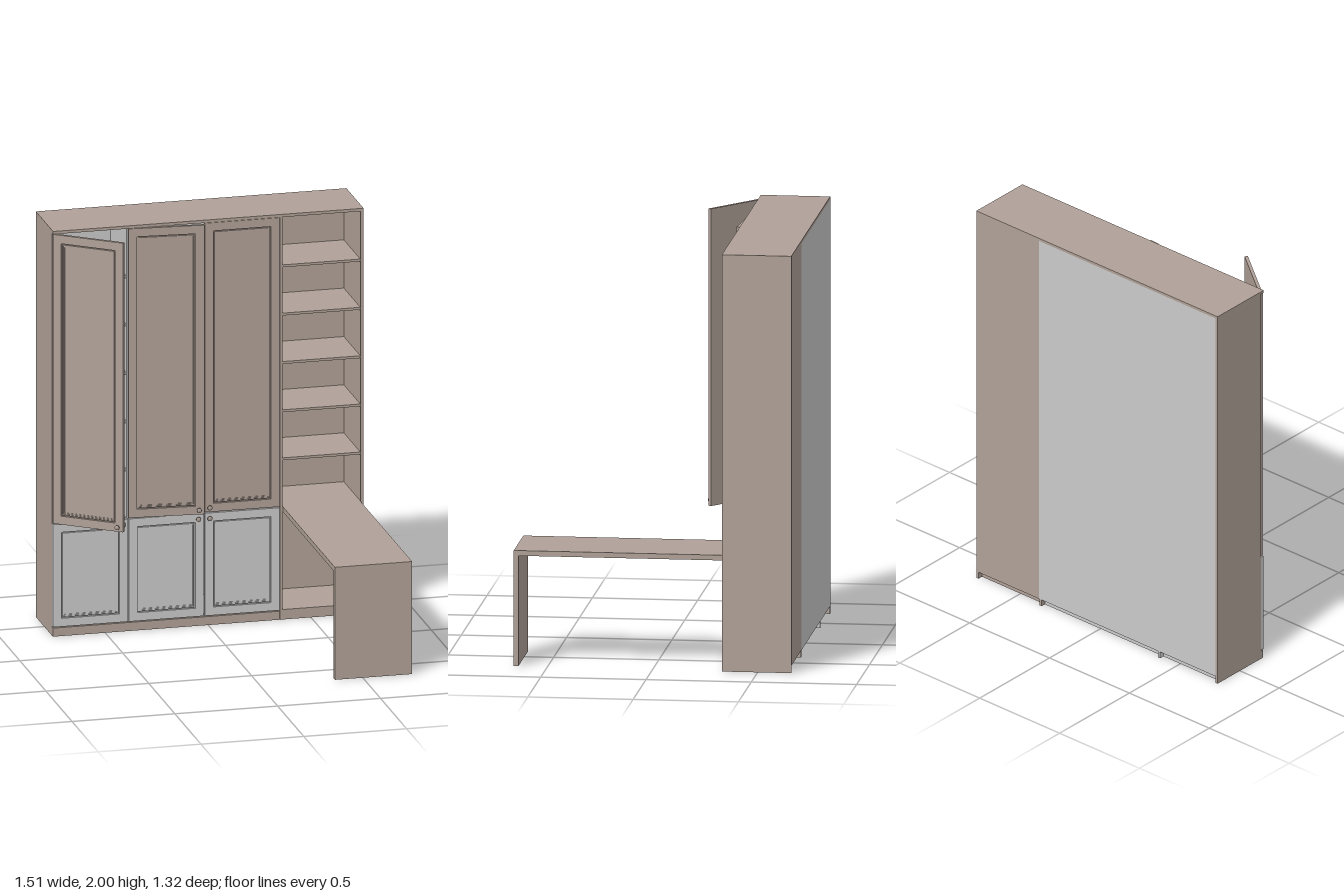
import * as THREE from 'three';

const mat = (name, color) => Object.assign(new THREE.MeshStandardMaterial({ color }), { name });

export function createModel() {
  const taupe = mat('taupe', 0xb0a198);
  const grey = mat('lightGrey', 0xcacaca);
  const root = new THREE.Group();
  root.name = 'wallUnitWithDesk';

  // Box given by its min and max corners
  function box(name, m, x0, x1, y0, y1, z0, z1, parent = root) {
    const mesh = new THREE.Mesh(new THREE.BoxGeometry(x1 - x0, y1 - y0, z1 - z0), m);
    mesh.position.set((x0 + x1) / 2, (y0 + y1) / 2, (z0 + z1) / 2);
    mesh.name = name;
    parent.add(mesh);
    return mesh;
  }

  const BACK = -0.66, FRONT = -0.33, BODY = -0.349;

  // Carcass
  box('topPanel', taupe, -0.755, 0.755, 1.986, 2, BACK, FRONT);
  box('leftSide', taupe, -0.755, -0.741, 0, 1.986, BACK, BODY);
  box('rightSide', taupe, 0.741, 0.755, 0, 1.986, BACK, FRONT);
  box('bayDivider', taupe, 0.348, 0.362, 0, 1.986, BACK + 0.002, FRONT - 0.002);
  box('innerDivider', grey, -0.394, -0.38, 0, 1.986, BACK + 0.002, BODY);
  box('cupboardBack', grey, -0.741, 0.362, 0.035, 1.986, BACK, BACK + 0.006);
  box('openBayBack', taupe, 0.362, 0.741, 0.035, 1.986, BACK, BACK + 0.006);

  // Plinth strips and floors
  box('frontPlinth', taupe, -0.755, 0.348, 0, 0.042, BODY, FRONT - 0.004);
  box('openBayPlinth', taupe, 0.362, 0.741, 0, 0.035, BODY, FRONT - 0.004);
  const bays = [[-0.741, -0.394, grey], [-0.38, 0.348, grey], [0.362, 0.741, taupe]];
  const shelfHeights = [0.79, 1.027, 1.265, 1.504, 1.742];
  for (const [x0, x1, m] of bays) {
    const open = m === taupe;
    const front = open ? FRONT - 0.004 : BODY - 0.003;
    box('rearPlinth', m, x0, x1, 0, 0.035, -0.635, -0.621);
    box('floor', m, x0, x1, 0.035, 0.049, BACK + 0.006, front);
    box('worktopShelf', m, x0, x1, open ? 0.53 : 0.541, 0.555, BACK + 0.006, front);
    for (const y of shelfHeights)
      box('shelf', m, x0, x1, y - 0.006, y + 0.006, BACK + 0.006, front - 0.004);
  }

  // Desk
  box('deskTop', taupe, 0.364, 0.74, 0.53, 0.555, FRONT - 0.004, 0.66);
  box('deskLeg', taupe, 0.364, 0.74, 0, 0.53, 0.638, 0.66);

  // Rectangular ring, inset a on the outside and b on the inside
  function ring(name, m, w, h, a, b, z0, depth, parent) {
    const rect = (i, P) => new P([
      new THREE.Vector2(i, i), new THREE.Vector2(w - i, i),
      new THREE.Vector2(w - i, h - i), new THREE.Vector2(i, h - i)]);
    const shape = rect(a, THREE.Shape);
    shape.holes.push(rect(b, THREE.Path));
    const mesh = new THREE.Mesh(new THREE.ExtrudeGeometry(shape, { depth, bevelEnabled: false }), m);
    mesh.position.z = z0;
    mesh.name = name;
    parent.add(mesh);
  }

  const knobGeo = new THREE.LatheGeometry([
    [0, 0], [0.006, 0], [0.005, 0.007], [0.012, 0.013], [0.011, 0.017], [0, 0.018],
  ].map(([r, y]) => new THREE.Vector2(r, y)), 16);
  knobGeo.rotateX(Math.PI / 2);

  // Framed door hinged at its left edge
  function door(name, m, x, y, w, h, angle, knobX, knobY) {
    const g = new THREE.Group();
    g.name = name;
    ring('doorFrame', m, w, h, 0, 0.041, 0, 0.016, g);
    box('doorPanel', m, 0.041, w - 0.041, 0.041, h - 0.041, 0, 0.008, g);
    ring('outerMoulding', m, w, h, 0.046, 0.052, 0.008, 0.007, g);
    ring('innerMoulding', m, w, h, 0.052, 0.058, 0.008, 0.003, g);
    const knob = new THREE.Mesh(knobGeo, taupe);
    knob.name = 'knob';
    knob.position.set(knobX, knobY, 0.016);
    g.add(knob);
    g.position.set(x, y, -0.348);
    g.rotation.y = -THREE.MathUtils.degToRad(angle);
    root.add(g);
  }

  // Upper doors: wide open, ajar, closed
  door('upperDoorLeft', taupe, -0.745, 0.558, 0.36, 1.426, 37.5, 0.335, 0.024);
  door('upperDoorMiddle', taupe, -0.386, 0.558, 0.362, 1.426, 4.5, 0.336, 0.024);
  door('upperDoorRight', taupe, -0.016, 0.558, 0.362, 1.426, 0, 0.021, 0.024);

  // Lower doors
  door('lowerDoorLeft', grey, -0.755, 0.047, 0.364, 0.506, 0, 0.34, 0.482);
  door('lowerDoorMiddle', grey, -0.386, 0.047, 0.364, 0.506, 0, 0.336, 0.482);
  door('lowerDoorRight', grey, -0.016, 0.047, 0.362, 0.506, 0, 0.021, 0.482);

  return root;
}
